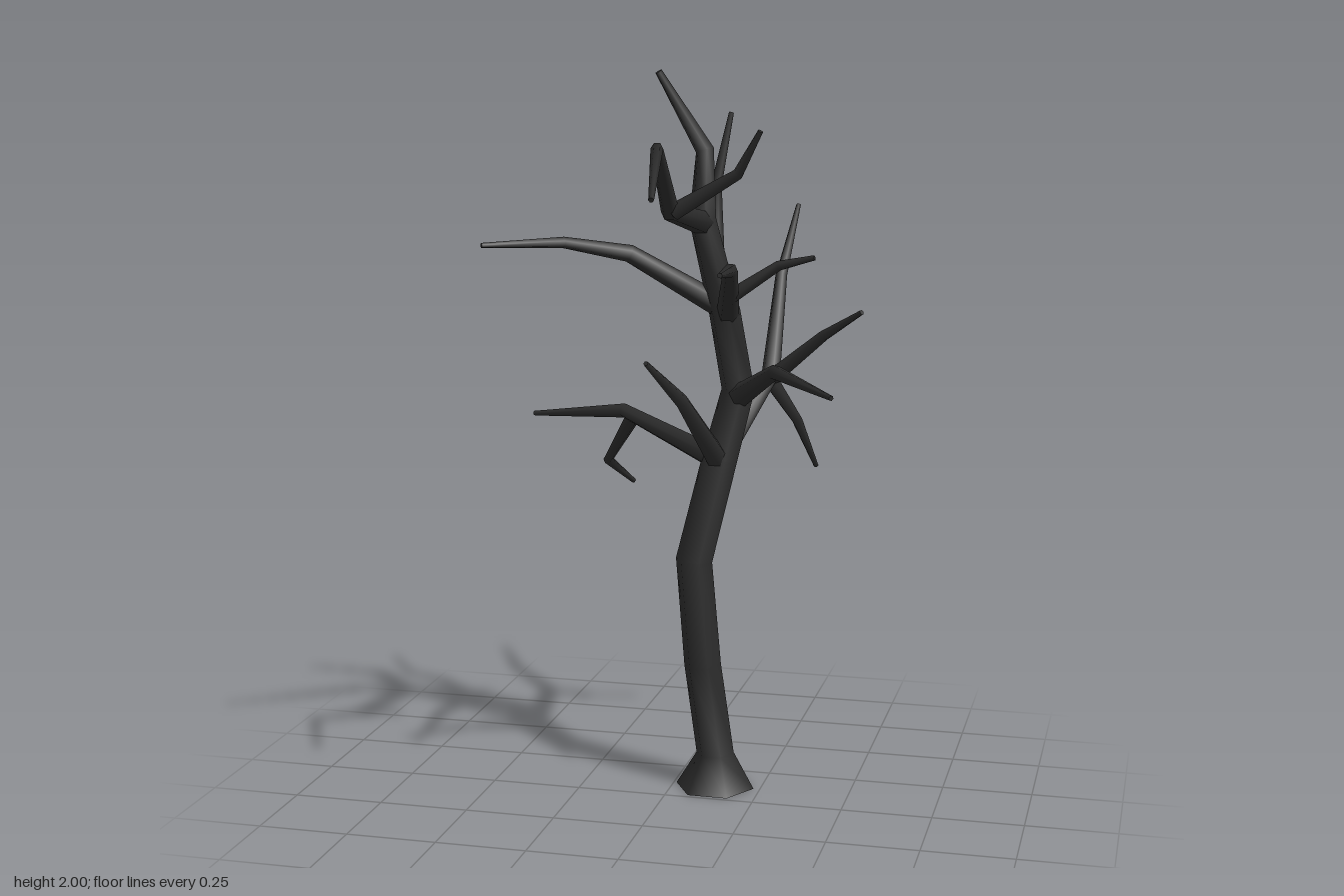
import * as THREE from 'three';

const SIDES = 6;

// Tapered limb through points [x, y, z, radius], closed at both ends
function limbGeometry(points) {
  const centres = points.map(p => new THREE.Vector3(p[0], p[1], p[2]));
  const last = centres.length - 1;
  const positions = [];
  const index = [];
  const u = new THREE.Vector3(1, 0, 0.01);
  const addRing = (c, v, r) => {
    for (let j = 0; j < SIDES; j++) {
      const a = (j / SIDES) * Math.PI * 2;
      const p = c.clone().addScaledVector(u, Math.cos(a) * r).addScaledVector(v, Math.sin(a) * r);
      positions.push(p.x, p.y, p.z);
    }
  };
  const addCap = (c, v, r, flip) => {
    const start = positions.length / 3;
    addRing(c, v, r);
    positions.push(c.x, c.y, c.z);
    for (let j = 0; j < SIDES; j++) {
      const a = start + j, b = start + (j + 1) % SIDES;
      index.push(start + SIDES, flip ? b : a, flip ? a : b);
    }
  };
  const frames = centres.map((c, i) => {
    const t = new THREE.Vector3();
    if (i > 0) t.add(c.clone().sub(centres[i - 1]).normalize());
    if (i < last) t.add(centres[i + 1].clone().sub(c).normalize());
    t.normalize();
    if (i === 0 && Math.abs(t.x) > 0.8) u.set(0, 1, 0);
    u.addScaledVector(t, -u.dot(t)).normalize();
    const v = new THREE.Vector3().crossVectors(t, u);
    addRing(c, v, points[i][3]);
    return { u: u.clone(), v };
  });
  for (let i = 0; i < last; i++) {
    for (let j = 0; j < SIDES; j++) {
      const k = (j + 1) % SIDES;
      const a = i * SIDES + j, b = i * SIDES + k;
      index.push(a, b, a + SIDES, b, b + SIDES, a + SIDES);
    }
  }
  u.copy(frames[0].u);
  addCap(centres[0], frames[0].v, points[0][3], true);
  u.copy(frames[last].u);
  addCap(centres[last], frames[last].v, points[last][3], false);
  const g = new THREE.BufferGeometry();
  g.setAttribute('position', new THREE.Float32BufferAttribute(positions, 3));
  g.setIndex(index);
  g.computeVertexNormals();
  return g;
}

export function createModel() {
  const tree = new THREE.Group();
  tree.name = 'bareTree';
  const bark = new THREE.MeshStandardMaterial({ color: 0x2b2b2b });
  bark.name = 'charcoal bark';

  const addLimb = (name, points) => {
    const mesh = new THREE.Mesh(limbGeometry(points), bark);
    mesh.name = name;
    tree.add(mesh);
  };
  // Branch radius tapers evenly from the joint to the tip
  const addBranch = (name, radius, path) => {
    const n = path.length - 1;
    addLimb(name, path.map((p, i) => [...p, radius + (0.007 - radius) * (i / n)]));
  };

  // Trunk with flared foot
  addLimb('trunk', [
    [0.12, 0, -0.11, 0.112], [0.12, 0.1, -0.11, 0.054], [0.085, 0.36, -0.1, 0.053],
    [0.062, 0.66, -0.09, 0.052], [0.125, 0.94, -0.125, 0.05], [0.165, 1.13, -0.18, 0.047],
    [0.13, 1.35, -0.16, 0.045], [0.09, 1.61, -0.06, 0.038], [0.08, 1.79, -0.13, 0.026],
    [-0.03, 2.0, -0.055, 0.01],
  ]);

  // Lower branches
  addBranch('lowerRightBranch', 0.034, [[0.12, 0.94, -0.13], [-0.18, 1.045, -0.25], [-0.5, 0.995, -0.42]]);
  addBranch('lowerRightTwig', 0.022, [[-0.15, 1.035, -0.25], [-0.27, 0.87, -0.4], [-0.21, 0.795, -0.47]]);
  addBranch('lowerFrontBranch', 0.033, [[0.125, 0.94, -0.11], [0.06, 1.13, 0.05], [0.012, 1.26, 0.25]]);
  addBranch('lowerBackBranch', 0.038,
    [[0.13, 0.96, -0.13], [0.22, 1.15, -0.37], [0.228, 1.42, -0.47], [0.25, 1.61, -0.61]]);
  addBranch('lowerBackTwigDown', 0.024, [[0.215, 1.14, -0.36], [0.29, 1.01, -0.41], [0.33, 0.86, -0.505]]);
  addBranch('lowerBackTwigSide', 0.024, [[0.215, 1.13, -0.36], [0.38, 1.27, -0.31], [0.5, 1.35, -0.225]]);

  // Middle branches
  addBranch('middleLeftBranch', 0.034, [[0.165, 1.11, -0.17], [0.315, 1.22, 0.06], [0.5, 1.19, 0.26]]);
  addBranch('middleRightBranch', 0.033,
    [[0.13, 1.36, -0.15], [-0.12, 1.51, -0.085], [-0.265, 1.55, 0.06], [-0.45, 1.55, 0.195]]);
  addBranch('middleFrontBranch', 0.032, [[0.14, 1.34, -0.155], [0.2, 1.49, 0.09], [0.24, 1.51, 0.4]]);
  addBranch('middleFrontTwig', 0.02, [[0.165, 1.4, -0.05], [0.3, 1.49, -0.055], [0.4, 1.515, -0.04]]);
  addBranch('middleBackBranch', 0.032,
    [[0.13, 1.33, -0.16], [0.09, 1.49, -0.23], [0.095, 1.69, -0.205], [0.12, 1.885, -0.28]]);

  // Upper branch
  addBranch('upperFrontBranch', 0.034,
    [[0.09, 1.6, -0.06], [0.07, 1.65, 0.22], [0.08, 1.82, 0.4], [0.12, 1.71, 0.615]]);
  addBranch('upperFrontTwig', 0.022, [[0.08, 1.65, 0.23], [0.25, 1.75, 0.24], [0.315, 1.86, 0.275]]);

  return tree;
}
